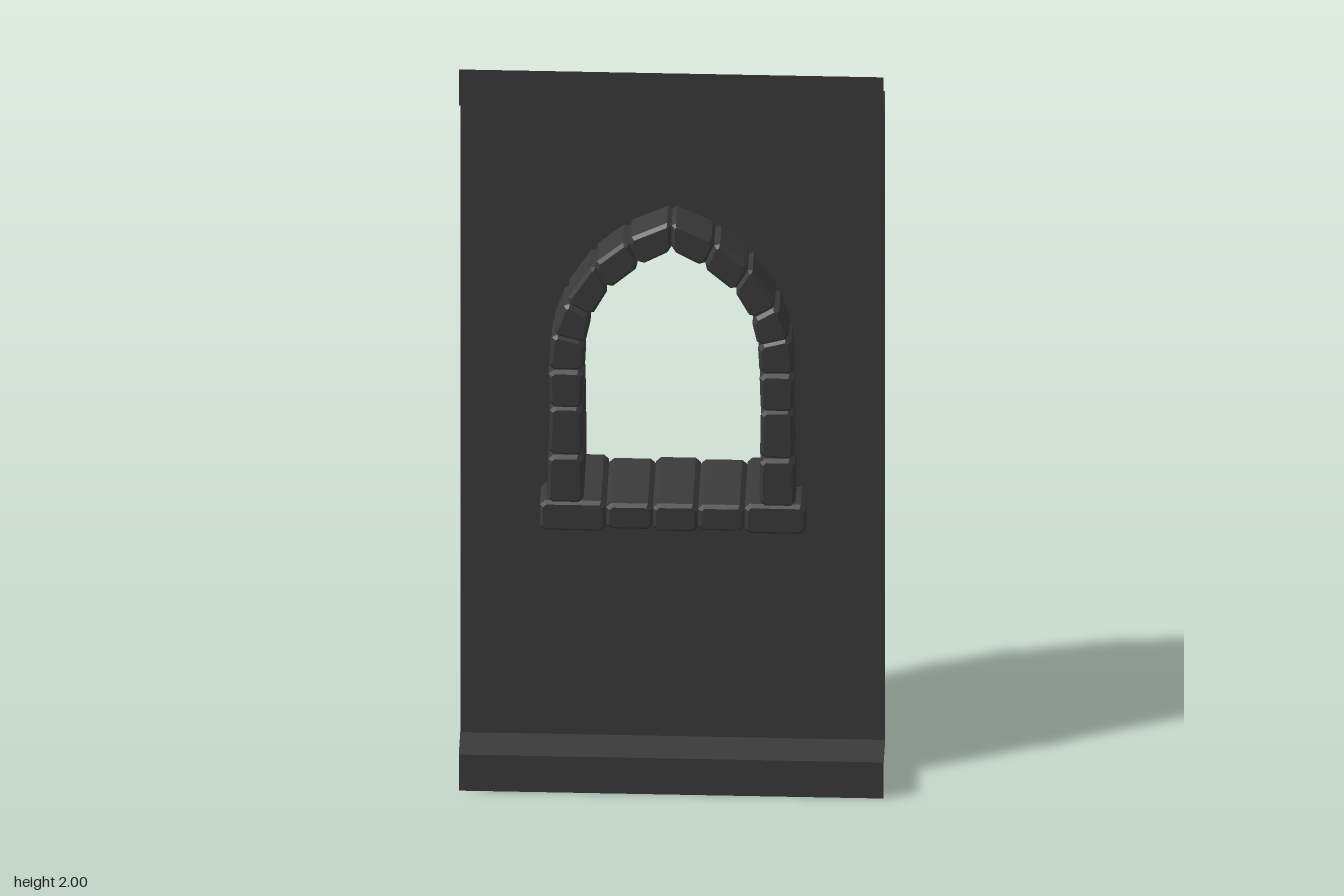
import * as THREE from 'three';

const WALL_Z = 0.02, FRONT_Z = 0.12;

// Joints of one side of the frame, bottom to apex: [outer x, outer y, inner x, inner y]
const JOINTS = [
  [0.292, 0.795, 0.207, 0.795],
  [0.290, 0.925, 0.208, 0.925],
  [0.287, 1.058, 0.210, 1.058],
  [0.290, 1.160, 0.207, 1.160],
  [0.280, 1.260, 0.203, 1.238],
  [0.250, 1.350, 0.188, 1.310],
  [0.185, 1.455, 0.147, 1.388],
  [0.105, 1.525, 0.075, 1.453],
  [0, 1.576, 0, 1.495],
];
// Sill stones: [left x, right x, bottom y, top y]
const SILL = [
  [-0.310, -0.154, 0.715, 0.797],
  [-0.154, -0.044, 0.720, 0.790],
  [-0.044, 0.062, 0.718, 0.793],
  [0.062, 0.172, 0.720, 0.791],
  [0.172, 0.316, 0.716, 0.797],
];

// A block with chamfered edges, from four corners in the xy plane
function stone(corners, zBack, zFront, material, name) {
  const cut = 0.012, bevel = 0.008;
  const pts = corners.map(([x, y]) => new THREE.Vector2(x, y));
  const outline = [];
  pts.forEach((p, i) => {
    for (const q of [pts[(i + 3) % 4], pts[(i + 1) % 4]]) {
      outline.push(p.clone().add(q.clone().sub(p).setLength(cut)));
    }
  });
  const geometry = new THREE.ExtrudeGeometry(new THREE.Shape(outline), {
    depth: zFront - zBack - 2 * bevel,
    bevelThickness: bevel, bevelSize: bevel, bevelOffset: -bevel, bevelSegments: 1,
  });
  geometry.translate(0, 0, zBack + bevel);
  const mesh = new THREE.Mesh(geometry, material);
  mesh.name = name;
  return mesh;
}

export function createModel() {
  const model = new THREE.Group();
  model.name = 'windowWall';
  const wallMaterial = new THREE.MeshStandardMaterial({ color: 0x3a3a3a, side: THREE.DoubleSide });
  wallMaterial.name = 'dark wall';
  const stoneMaterial = new THREE.MeshStandardMaterial({ color: 0x3a3a3a });
  stoneMaterial.name = 'dark stone';

  // Thin wall sheet with a pointed opening hidden behind the stones
  const sheet = new THREE.Shape([[-0.5, 0.1], [0.5, 0.1], [0.5, 1.9], [-0.5, 1.9]]
    .map(([x, y]) => new THREE.Vector2(x, y)));
  const side = JOINTS.map(([ox, oy, ix, iy]) => [(ox + ix) / 2, (oy + iy) / 2]);
  side[0][1] = 0.755;
  const opening = [
    ...side.map(([x, y]) => new THREE.Vector2(x, y)),
    ...side.slice(0, -1).reverse().map(([x, y]) => new THREE.Vector2(-x, y)),
  ];
  sheet.holes.push(new THREE.Path(opening));
  const wall = new THREE.Mesh(new THREE.ShapeGeometry(sheet), wallMaterial);
  wall.name = 'wall';
  wall.position.z = WALL_Z;
  model.add(wall);

  // Stepped bands at the foot and the head: upright face plus ledge
  for (const [name, middle, ledgeY] of [['base', 0.05, 0.1], ['cornice', 1.95, 1.9]]) {
    const face = new THREE.Mesh(new THREE.PlaneGeometry(1, 0.1), wallMaterial);
    face.name = name + 'Face';
    face.position.set(0, middle, FRONT_Z);
    const ledge = new THREE.Mesh(new THREE.PlaneGeometry(1, FRONT_Z - WALL_Z), wallMaterial);
    ledge.name = name + 'Ledge';
    ledge.rotation.x = -Math.PI / 2;
    ledge.position.set(0, ledgeY, (FRONT_Z + WALL_Z) / 2);
    model.add(face, ledge);
  }

  // Stones of both jambs and the pointed arch, each slightly different in depth
  const frame = new THREE.Group();
  frame.name = 'windowFrame';
  for (const s of [-1, 1]) {
    for (let i = 0; i < JOINTS.length - 1; i++) {
      const a = JOINTS[i], b = JOINTS[i + 1];
      const corners = [[a[0], a[1]], [b[0], b[1]], [b[2], b[3]], [a[2], a[3]]]
        .map(([x, y]) => [s * x, y]);
      const extra = i % 2 === 0 ? 0.004 : 0;
      frame.add(stone(corners, -0.116 - extra, 0.105 + extra, stoneMaterial,
        i < 4 ? 'jambStone' : 'archStone'));
    }
  }

  // Sill stones
  SILL.forEach(([x0, x1, y0, y1], i) => {
    const inset = i % 2 === 0 ? 0 : 0.003;
    frame.add(stone([[x0, y0], [x1, y0], [x1, y1], [x0, y1]],
      -0.116 + inset, 0.106 - inset, stoneMaterial, 'sillStone'));
  });
  model.add(frame);
  return model;
}
